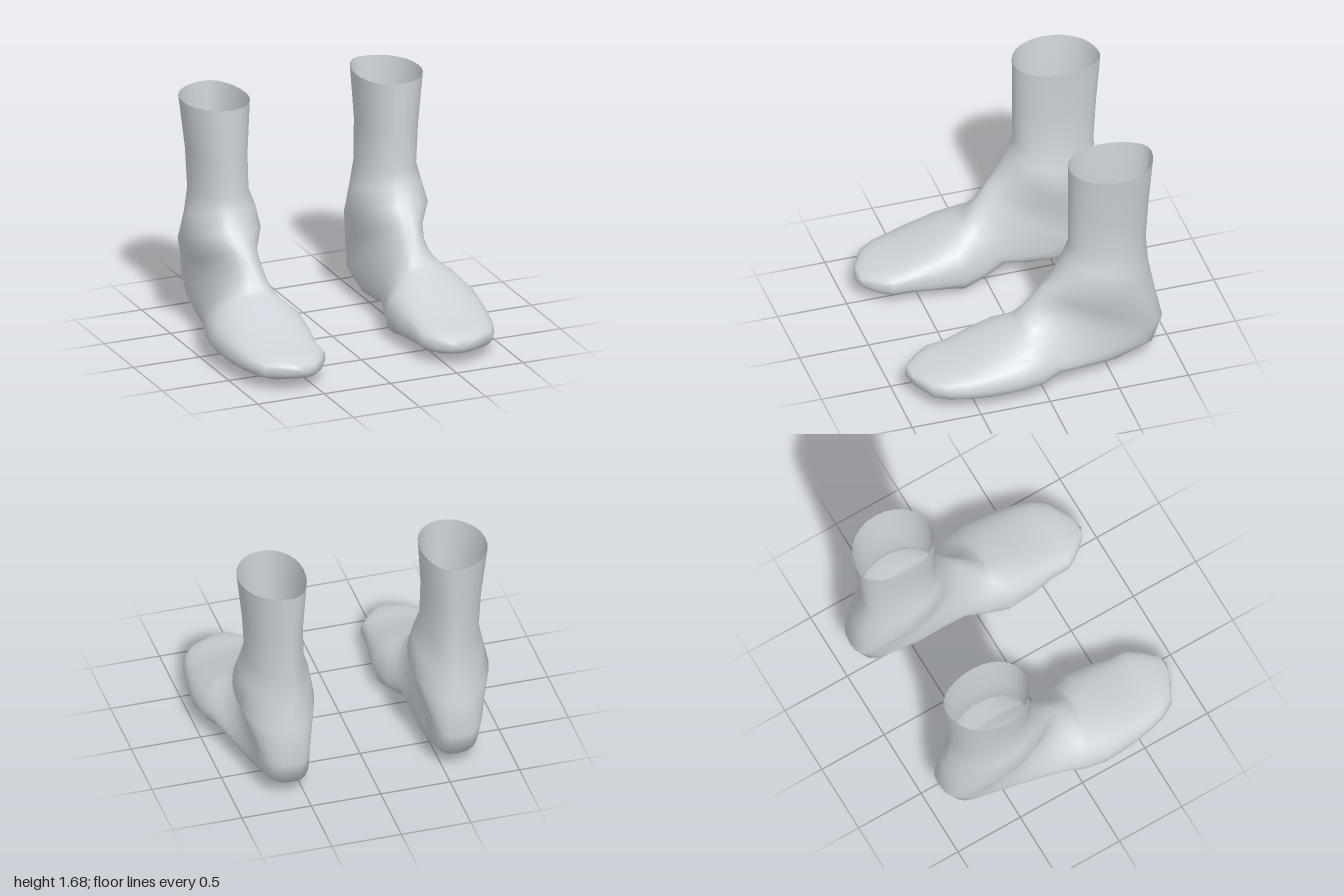
import * as THREE from 'three';

const grey = new THREE.MeshStandardMaterial({ color: 0xccd2d7, side: THREE.DoubleSide });
grey.name = 'plain grey';

// Cross-sections from the leg opening, fanning round the heel, to the toes:
// [front z, y,  back z, y,  inner x, outer x,  widest place from front to back]
const SECTIONS = [
  [-0.25, 1.68, -0.86, 1.68, 0.42, 0.89, 0.48],
  [-0.25, 1.3, -0.83, 1.3, 0.445, 0.845, 0.48],
  [-0.25, 1.04, -0.81, 0.99, 0.435, 0.83, 0.5],
  [-0.22, 0.94, -0.83, 0.78, 0.385, 0.865, 0.5],
  [-0.16, 0.81, -0.87, 0.56, 0.355, 0.905, 0.5],
  [-0.06, 0.71, -0.92, 0.31, 0.425, 0.825, 0.55],
  [0.0, 0.64, -0.85, 0.12, 0.415, 0.81, 0.6],
  [0.05, 0.575, -0.58, 0.04, 0.415, 0.83, 0.62],
  [0.1, 0.52, -0.33, 0.065, 0.415, 0.885, 0.64],
  [0.13, 0.48, -0.15, 0.115, 0.4, 0.94, 0.66],
  [0.16, 0.455, 0.0, 0.06, 0.365, 0.975, 0.65],
  [0.25, 0.415, 0.18, 0.047, 0.315, 1.0, 0.62],
  [0.42, 0.34, 0.4, 0.045, 0.33, 0.98, 0.62],
  [0.58, 0.27, 0.58, 0.05, 0.36, 0.95, 0.55],
  [0.7, 0.245, 0.7, 0.055, 0.36, 0.915, 0.5],
  [0.8, 0.22, 0.79, 0.065, 0.42, 0.86, 0.5],
  [0.89, 0.19, 0.875, 0.09, 0.5, 0.7, 0.5],
];
const TOE_TIP = [0.58, 0.14, 0.92];
const SIDES = 28;
const { lerp, smoothstep } = THREE.MathUtils;
const bell = (value, centre, width) => Math.exp(-(((value - centre) / width) ** 2));

// One point on a section: a superellipse with its own inner and outer widths
function sectionPoint([frontZ, frontY, backZ, backY, inner, outer, widest], angle) {
  const c = Math.cos(angle), s = Math.sin(angle);
  // Toes, sole and heel are squarer than the leg; the tendon behind the ankle is narrow
  const squareness = c > 0
    ? lerp(2.05, 2.6, smoothstep(frontZ, 0.2, 0.6))
    : lerp(2.8, 2.05, smoothstep(backY, 0.3, 0.7)) - 0.4 * bell(backY, 0.65, 0.2);
  const along = Math.pow(Math.abs(c), 2 / squareness);
  const across = Math.pow(Math.abs(s), 2 / squareness);
  const t = c > 0 ? widest * (1 - along) : widest + (1 - widest) * along;
  // The shin ridge leans outward; the sole's middle line swings inward at the ball
  const frontX = lerp(0.59, 0.64, smoothstep(frontY, 0.3, 0.9));
  const backX = 0.59 - 0.11 * bell(backZ, 0.2, 0.17);
  const x = lerp(lerp(frontX, backX, t), s > 0 ? outer : inner, across);
  const z = lerp(frontZ, backZ, t);
  // Ball of the foot, a small bump under the inner side
  const ball = c < 0 ? 0.047 * bell(x, 0.48, 0.14) * bell(z, 0.18, 0.12) : 0;
  return [x, lerp(frontY, backY, t) - ball, z];
}

// The skin of one foot; side is 1 for left (+x) and -1 for right
function sockGeometry(side) {
  const positions = [], index = [];
  const addFace = (a, b, c) => (side > 0 ? index.push(a, b, c) : index.push(a, c, b));
  for (const section of SECTIONS) {
    for (let j = 0; j < SIDES; j++) {
      const [x, y, z] = sectionPoint(section, (j / SIDES) * Math.PI * 2);
      positions.push(side * x, y, z);
    }
  }
  for (let i = 0; i < SECTIONS.length - 1; i++) {
    for (let j = 0; j < SIDES; j++) {
      const a = i * SIDES + j, b = i * SIDES + ((j + 1) % SIDES);
      addFace(a, a + SIDES, b);
      addFace(b, a + SIDES, b + SIDES);
    }
  }
  // Rounded toe end
  const last = (SECTIONS.length - 1) * SIDES, tip = SECTIONS.length * SIDES;
  positions.push(side * TOE_TIP[0], TOE_TIP[1], TOE_TIP[2]);
  for (let j = 0; j < SIDES; j++) addFace(last + j, tip, last + ((j + 1) % SIDES));

  const geometry = new THREE.BufferGeometry();
  geometry.setAttribute('position', new THREE.Float32BufferAttribute(positions, 3));
  geometry.setIndex(index);
  geometry.computeVertexNormals();
  return geometry;
}

export function createModel() {
  const group = new THREE.Group();
  group.name = 'pairOfSocks';
  for (const side of [1, -1]) {
    const sock = new THREE.Mesh(sockGeometry(side), grey);
    sock.name = side > 0 ? 'leftSock' : 'rightSock';
    group.add(sock);
  }
  return group;
}
